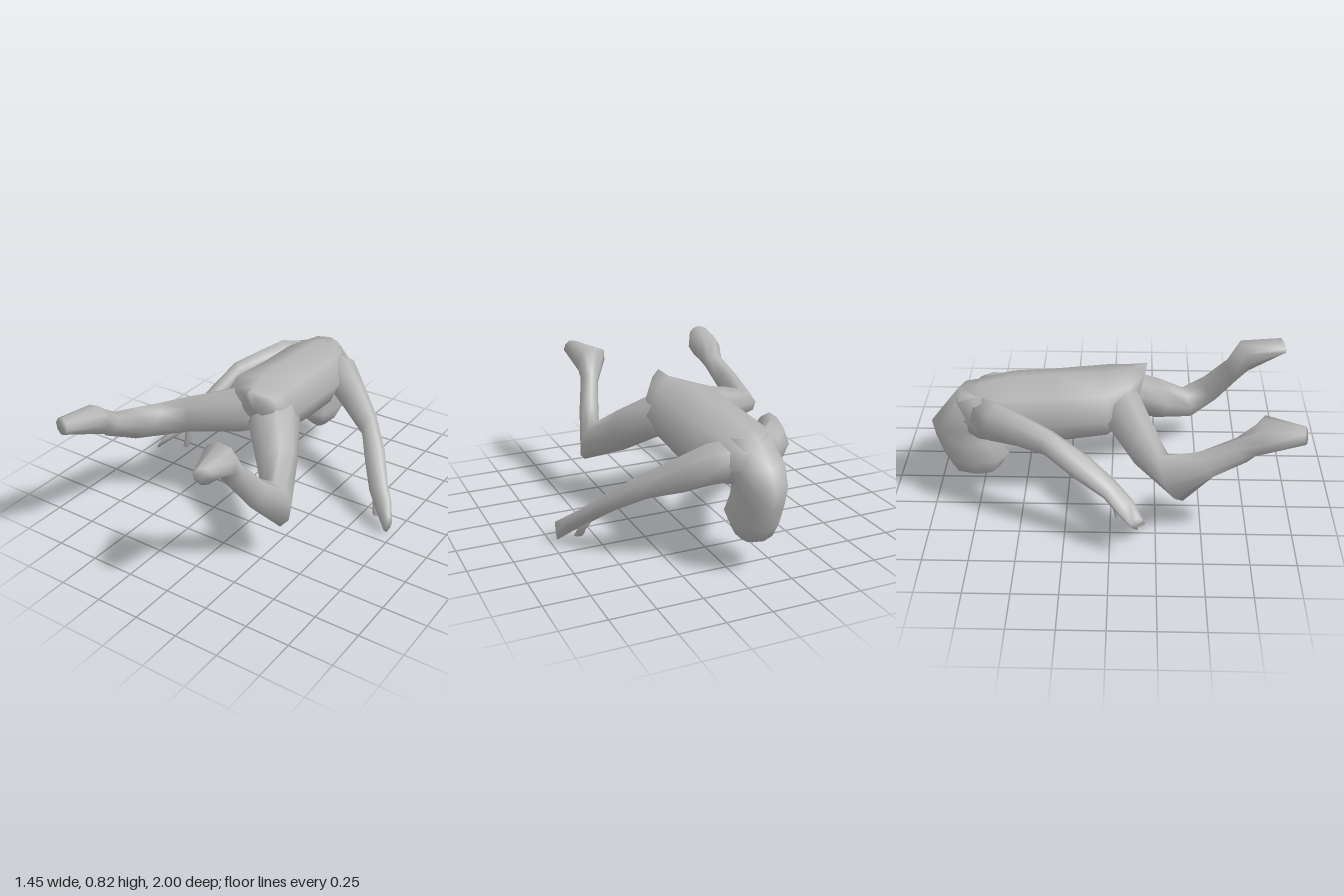
import * as THREE from 'three';

// Smooth closed skin through rounded sections: [centre xyz, half-axis a xyz, half-axis b xyz]
// A power of 1 gives ellipses, a smaller one boxier sections, a larger one diamonds
function loft(name, sections, sides, power, material) {
  const pos = [], idx = [], n = sections.length;
  const bulge = (v) => Math.sign(v) * Math.pow(Math.abs(v), power);
  for (const s of sections) {
    for (let i = 0; i < sides; i++) {
      const t = (i / sides) * Math.PI * 2, u = bulge(Math.cos(t)), v = bulge(Math.sin(t));
      for (let k = 0; k < 3; k++) pos.push(s[k] + s[3 + k] * u + s[6 + k] * v);
    }
  }
  const first = pos.length / 3, last = first + 1;
  pos.push(...sections[0].slice(0, 3), ...sections[n - 1].slice(0, 3));
  for (let j = 0; j < n - 1; j++) {
    for (let i = 0; i < sides; i++) {
      const a = j * sides + i, b = j * sides + ((i + 1) % sides);
      idx.push(a, b, b + sides, a, b + sides, a + sides);
    }
  }
  for (let i = 0; i < sides; i++) {
    const k = (i + 1) % sides, e = (n - 1) * sides;
    idx.push(first, k, i, last, e + i, e + k);
  }
  // Turn the faces outward if the enclosed volume is negative
  const p = (i) => new THREE.Vector3(pos[i * 3], pos[i * 3 + 1], pos[i * 3 + 2]);
  let volume = 0;
  for (let i = 0; i < idx.length; i += 3) volume += p(idx[i]).dot(p(idx[i + 1]).cross(p(idx[i + 2])));
  if (volume < 0) idx.reverse();
  const g = new THREE.BufferGeometry();
  g.setAttribute('position', new THREE.Float32BufferAttribute(pos, 3));
  g.setIndex(idx);
  g.computeVertexNormals();
  const mesh = new THREE.Mesh(g, material);
  mesh.name = name;
  return mesh;
}

export function createModel() {
  const group = new THREE.Group();
  group.name = 'proneFigure';
  const grey = new THREE.MeshStandardMaterial({ color: 0xb4b4b4, side: THREE.DoubleSide });
  grey.name = 'grey';
  const add = (name, sections, sides = 8, power = 1.15) =>
    group.add(loft(name, sections, sides, power, grey));

  // Torso: [z, right x, left x, bottom y, top y, backward lean of the top]
  const torso = [
    [-0.84, -0.25, -0.02, 0.48, 0.7, 0],
    [-0.72, -0.33, 0.06, 0.43, 0.74, 0],
    [-0.55, -0.33, 0.11, 0.385, 0.77, 0],
    [-0.3, -0.32, 0.115, 0.4, 0.785, 0],
    [-0.02, -0.33, 0.14, 0.455, 0.797, 0],
    [0.08, -0.23, 0.12, 0.47, 0.8, 0.03],
    [0.16, -0.08, 0.03, 0.54, 0.82, 0.035],
  ].map(([z, x0, x1, y0, y1, lean]) =>
    [(x0 + x1) / 2, (y0 + y1) / 2, z, (x1 - x0) / 2, 0, 0, 0, (y1 - y0) / 2, lean]);
  add('torso', torso, 8, 0.95);

  // Bowed head: [y, back z, face z, right x, left x]
  const head = [
    [0.15, -0.8, -0.69, -0.16, -0.09],
    [0.2, -0.9, -0.63, -0.23, -0.04],
    [0.28, -0.95, -0.58, -0.25, -0.01],
    [0.4, -0.985, -0.65, -0.255, -0.01],
    [0.5, -1.0, -0.66, -0.265, -0.01],
    [0.6, -0.925, -0.6, -0.29, 0],
    [0.71, -0.835, -0.6, -0.23, -0.03],
  ].map(([y, z0, z1, x0, x1]) =>
    [(x0 + x1) / 2, y, (z0 + z1) / 2, (x1 - x0) / 2, 0, 0, 0, 0, (z1 - z0) / 2]);
  add('head', head, 8, 0.9);

  // Legs run hip, thigh, knee, shin, ankle, heel, toes
  add('leftLeg', [
    [-0.06, 0.64, -0.02, 0.08, 0, -0.08, 0, 0.13, 0],
    [0.055, 0.59, 0.07, 0.09, 0, -0.12, 0, 0.135, 0],
    [0.19, 0.46, 0.25, 0.085, 0, -0.07, 0.02, 0.125, 0],
    [0.315, 0.35, 0.435, 0.068, 0, -0.03, -0.03, 0.12, -0.02],
    [0.27, 0.48, 0.57, 0.06, 0.02, 0, 0, 0.06, -0.05],
    [0.22, 0.64, 0.69, 0.055, 0.02, 0, 0, 0.045, -0.045],
    [0.185, 0.75, 0.745, 0.085, -0.055, 0, 0.05, 0.07, -0.02],
    [0.24, 0.785, 0.965, 0.052, -0.01, -0.015, 0.01, 0.045, -0.01],
  ]);
  add('rightLeg', [
    [-0.04, 0.64, 0.02, 0.06, 0, 0.09, 0, 0.13, 0],
    [-0.18, 0.605, 0.07, 0.1, 0, 0.1, 0, 0.135, 0],
    [-0.45, 0.545, 0.19, 0.05, 0, 0.085, 0, 0.115, 0],
    [-0.65, 0.5, 0.32, 0.068, 0, 0.035, 0.05, 0.105, -0.06],
    [-0.63, 0.58, 0.5, 0.065, 0, 0, 0, 0.075, -0.04],
    [-0.615, 0.66, 0.67, 0.065, 0.01, 0, 0, 0.055, -0.04],
    [-0.6, 0.745, 0.78, 0.088, 0.06, 0.01, -0.06, 0.06, -0.02],
    [-0.655, 0.78, 0.98, 0.055, 0, 0.015, 0, 0.045, -0.01],
  ]);

  // Arms run shoulder, upper arm, elbow, forearm, wrist, fingertips
  add('leftArm', [
    [-0.06, 0.59, -0.71, 0.02, 0, 0.1, 0, 0.11, 0],
    [0.06, 0.57, -0.67, -0.03, 0, 0.11, 0.02, 0.115, 0],
    [0.19, 0.5, -0.59, -0.02, 0, 0.09, 0.02, 0.1, 0],
    [0.36, 0.415, -0.475, -0.01, 0, 0.075, 0.015, 0.067, 0],
    [0.48, 0.3, -0.34, -0.03, 0, 0.06, 0.03, 0.05, 0],
    [0.57, 0.195, -0.225, -0.03, 0, 0.038, 0.035, 0.042, 0],
    [0.65, 0.125, -0.15, -0.025, 0, 0.035, 0.025, 0.045, 0],
    [0.71, 0.065, -0.09, -0.012, 0, 0.03, 0.005, 0.055, 0],
  ]);
  add('rightArm', [
    [-0.23, 0.6, -0.7, 0.07, 0, 0.06, 0, 0.11, 0],
    [-0.33, 0.61, -0.6, 0.065, 0, 0.07, 0, 0.12, 0],
    [-0.395, 0.605, -0.47, 0.06, 0, 0.045, 0, 0.095, 0],
    [-0.47, 0.585, -0.32, 0.052, 0, 0.035, 0, 0.075, 0],
    [-0.535, 0.48, -0.15, 0.055, 0, 0.03, 0.01, 0.055, 0.03],
    [-0.59, 0.38, 0.0, 0.06, 0, 0.02, 0.01, 0.035, 0.025],
    [-0.66, 0.31, 0.09, 0.045, 0, 0.035, 0.01, 0.033, 0.02],
    [-0.71, 0.245, 0.15, 0.005, 0, 0.04, 0.012, 0.03, 0],
  ]);

  // Thumbs
  add('leftThumb', [
    [0.56, 0.18, -0.22, 0.03, 0, 0.01, 0, 0.01, 0.03],
    [0.585, 0.11, -0.18, 0.025, 0, 0, 0, 0.01, 0.025],
    [0.605, 0.05, -0.16, 0.03, 0, 0, 0, 0, 0.02],
  ], 6);
  add('rightThumb', [
    [-0.585, 0.37, 0.02, 0.035, 0, 0, 0, 0.01, 0.03],
    [-0.585, 0.28, 0.035, 0.028, 0, 0, 0, 0.01, 0.025],
    [-0.605, 0.205, 0.045, 0.018, 0, 0, 0, 0, 0.015],
  ], 6);

  return group;
}
